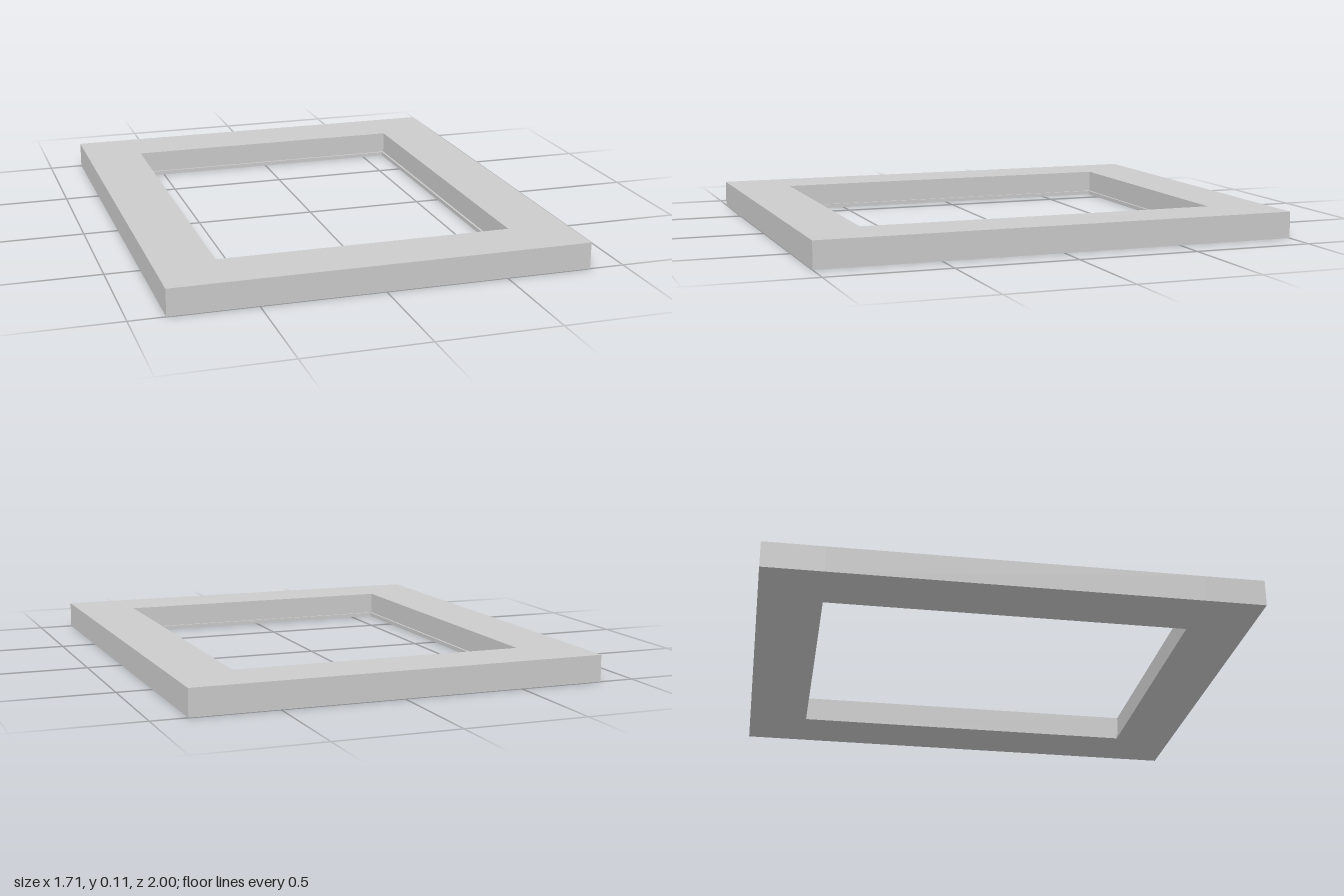
import * as THREE from 'three';

const W = 0.855, L = 1, H = 0.11;      // outer half width, half length, height
const IW = 0.608, IL = 0.752;          // half size of the opening
const LIP = 0.009, LIP_H = 0.017;      // ledge around the bottom of the opening

export function createModel() {
  const group = new THREE.Group();
  const material = new THREE.MeshStandardMaterial({ color: 0xcccccc, flatShading: true });

  // box given by its lower and upper corner
  const box = (name, [x0, y0, z0], [x1, y1, z1]) => {
    const mesh = new THREE.Mesh(new THREE.BoxGeometry(x1 - x0, y1 - y0, z1 - z0), material);
    mesh.position.set((x0 + x1) / 2, (y0 + y1) / 2, (z0 + z1) / 2);
    mesh.name = name;
    group.add(mesh);
  };

  // full-width end rails
  box('frontRail', [-W, 0, IL], [W, H, L]);
  box('backRail', [-W, 0, -L], [W, H, -IL]);

  // side rails butted between the end rails
  box('leftRail', [IW, 0, -IL], [W, H, IL]);
  box('rightRail', [-W, 0, -IL], [-IW, H, IL]);

  // thin ledge lining the bottom of the opening
  box('frontLip', [-IW, 0, IL - LIP], [IW, LIP_H, IL]);
  box('backLip', [-IW, 0, -IL], [IW, LIP_H, -IL + LIP]);
  box('leftLip', [IW - LIP, 0, -IL + LIP], [IW, LIP_H, IL - LIP]);
  box('rightLip', [-IW, 0, -IL + LIP], [-IW + LIP, LIP_H, IL - LIP]);

  return group;
}
